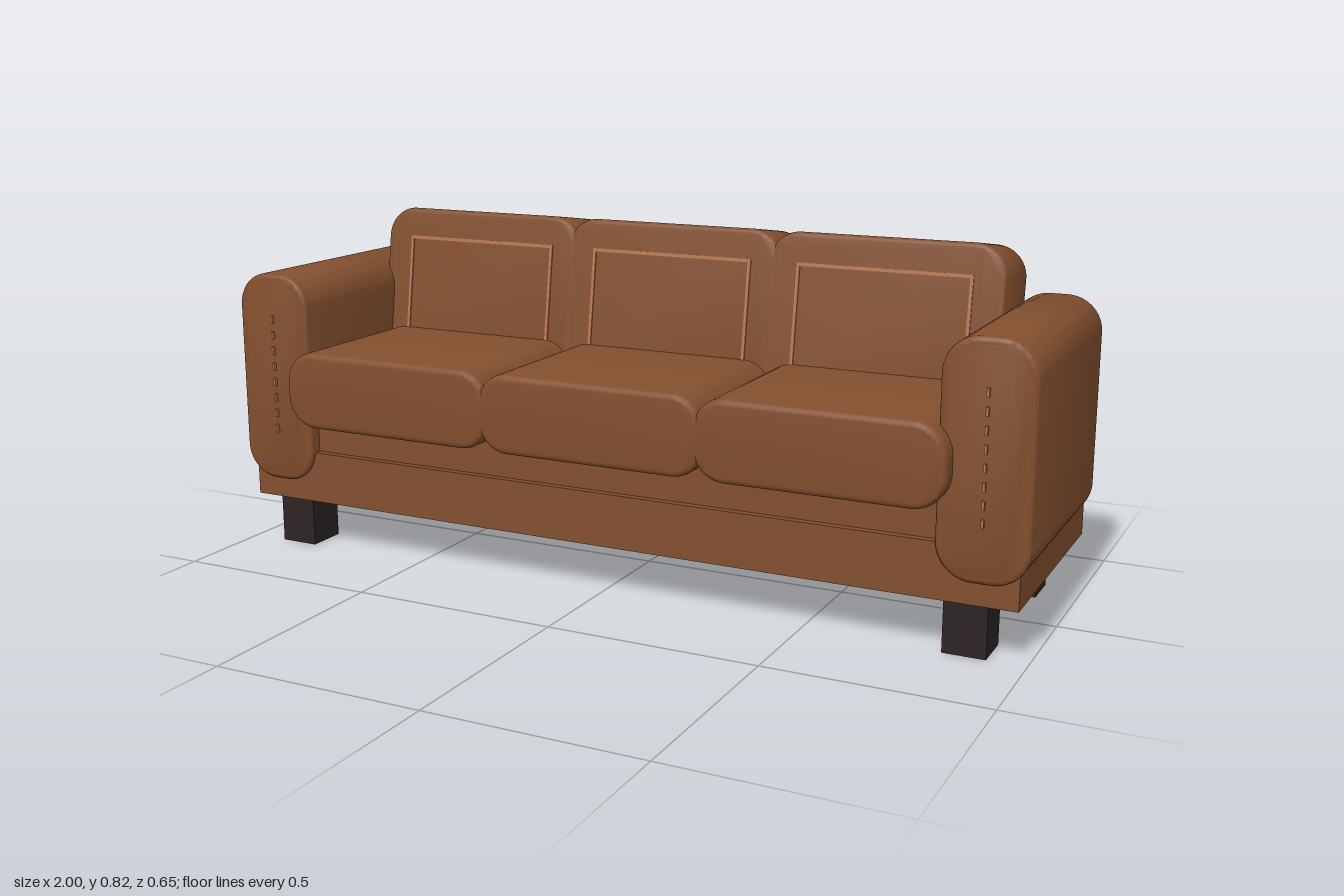
import * as THREE from 'three';
import { toCreasedNormals } from 'three/addons/utils/BufferGeometryUtils.js';

const leather = new THREE.MeshStandardMaterial({ color: 0x824f2e });
leather.name = 'brown leather';
const thread = new THREE.MeshStandardMaterial({ color: 0xb5754c });
thread.name = 'light thread';
const darkWood = new THREE.MeshStandardMaterial({ color: 0x2d2424 });
darkWood.name = 'dark wood';

function add(parent, name, geometry, material, x = 0, y = 0, z = 0) {
  const mesh = new THREE.Mesh(geometry, material);
  mesh.name = name;
  mesh.position.set(x, y, z);
  parent.add(mesh);
  return mesh;
}

// Box given by its limits on each axis
function slab(parent, name, material, [x0, x1], [y0, y1], [z0, z1]) {
  return add(parent, name, new THREE.BoxGeometry(x1 - x0, y1 - y0, z1 - z0), material,
    (x0 + x1) / 2, (y0 + y1) / 2, (z0 + z1) / 2);
}

// Padded block: rounded rectangle in x and y, pushed along z with a soft rim, centred
function padded(w, h, d, r, rim) {
  const s = new THREE.Shape();
  const a = w / 2, b = h / 2;
  s.moveTo(-a + r, -b);
  s.lineTo(a - r, -b);
  s.absarc(a - r, -b + r, r, -Math.PI / 2, 0, false);
  s.lineTo(a, b - r);
  s.absarc(a - r, b - r, r, 0, Math.PI / 2, false);
  s.lineTo(-a + r, b);
  s.absarc(-a + r, b - r, r, Math.PI / 2, Math.PI, false);
  s.lineTo(-a, -b + r);
  s.absarc(-a + r, -b + r, r, Math.PI, Math.PI * 1.5, false);
  const g = new THREE.ExtrudeGeometry(s, {
    depth: d - 2 * rim, curveSegments: 10,
    bevelEnabled: true, bevelThickness: rim, bevelSize: rim, bevelOffset: -rim, bevelSegments: 4,
  });
  g.translate(0, 0, -d / 2 + rim);
  return toCreasedNormals(g, 0.6);
}

export function createModel() {
  const sofa = new THREE.Group();
  sofa.name = 'sofa';

  // Frame: plinth, deck under the seats, low rear rail and back board
  slab(sofa, 'plinth', leather, [-0.978, 0.978], [0.118, 0.245], [-0.323, 0.268]);
  slab(sofa, 'seatDeck', leather, [-0.9, 0.9], [0.245, 0.343], [-0.311, 0.25]);
  slab(sofa, 'rearRail', leather, [-0.978, 0.978], [0.245, 0.345], [-0.323, -0.311]);
  slab(sofa, 'backBoard', leather, [-0.81, 0.81], [0.4, 0.66], [-0.302, -0.265]);

  // Arms with a dashed seam, and legs
  const armShape = padded(0.203, 0.52, 0.592, 0.082, 0.012);
  for (const side of [-1, 1]) {
    add(sofa, 'arm', armShape, leather, side * 0.898, 0.428, -0.016);
    for (let i = 0; i < 8; i++) {
      add(sofa, 'armStitch', new THREE.BoxGeometry(0.006, 0.019, 0.009), thread,
        side * 0.898, 0.3 + i * 0.0394, 0.283);
    }
    for (const z of [0.212, -0.212]) {
      slab(sofa, 'leg', darkWood, [side * 0.865 - 0.048, side * 0.865 + 0.048],
        [0, 0.12], [z - 0.049, z + 0.049]);
    }
  }

  // Seat and back cushions, three of each
  const seatShape = padded(0.57, 0.188, 0.545, 0.075, 0.014);
  const backHeight = 0.42, backDepth = 0.187;
  const backShape = padded(0.57, backHeight, backDepth, 0.075, 0.012);
  const tilt = THREE.MathUtils.degToRad(8.5);
  for (const i of [-1, 0, 1]) {
    add(sofa, 'seatCushion', seatShape, leather, i * 0.545, 0.416, 0.0515);

    const back = new THREE.Group();
    back.name = 'backCushion';
    back.rotation.x = -tilt;
    back.position.set(i * 0.538, 0.804 - Math.cos(tilt) * backHeight / 2,
      -0.219 + Math.sin(tilt) * backHeight / 2);
    sofa.add(back);
    add(back, 'backPad', backShape, leather);

    // Stitched frame on the front of the pad
    const front = backDepth / 2, top = backHeight / 2 - 0.076, bottom = -0.15;
    const zs = [front - 0.003, front + 0.003];
    for (const x of [-0.207, 0.207]) {
      slab(back, 'sideStitch', thread, [x - 0.004, x + 0.004], [bottom, top], zs);
    }
    for (const y of [top, bottom]) {
      slab(back, 'crossStitch', thread, [-0.211, 0.211], [y - 0.004, y + 0.004], zs);
    }
  }
  return sofa;
}
